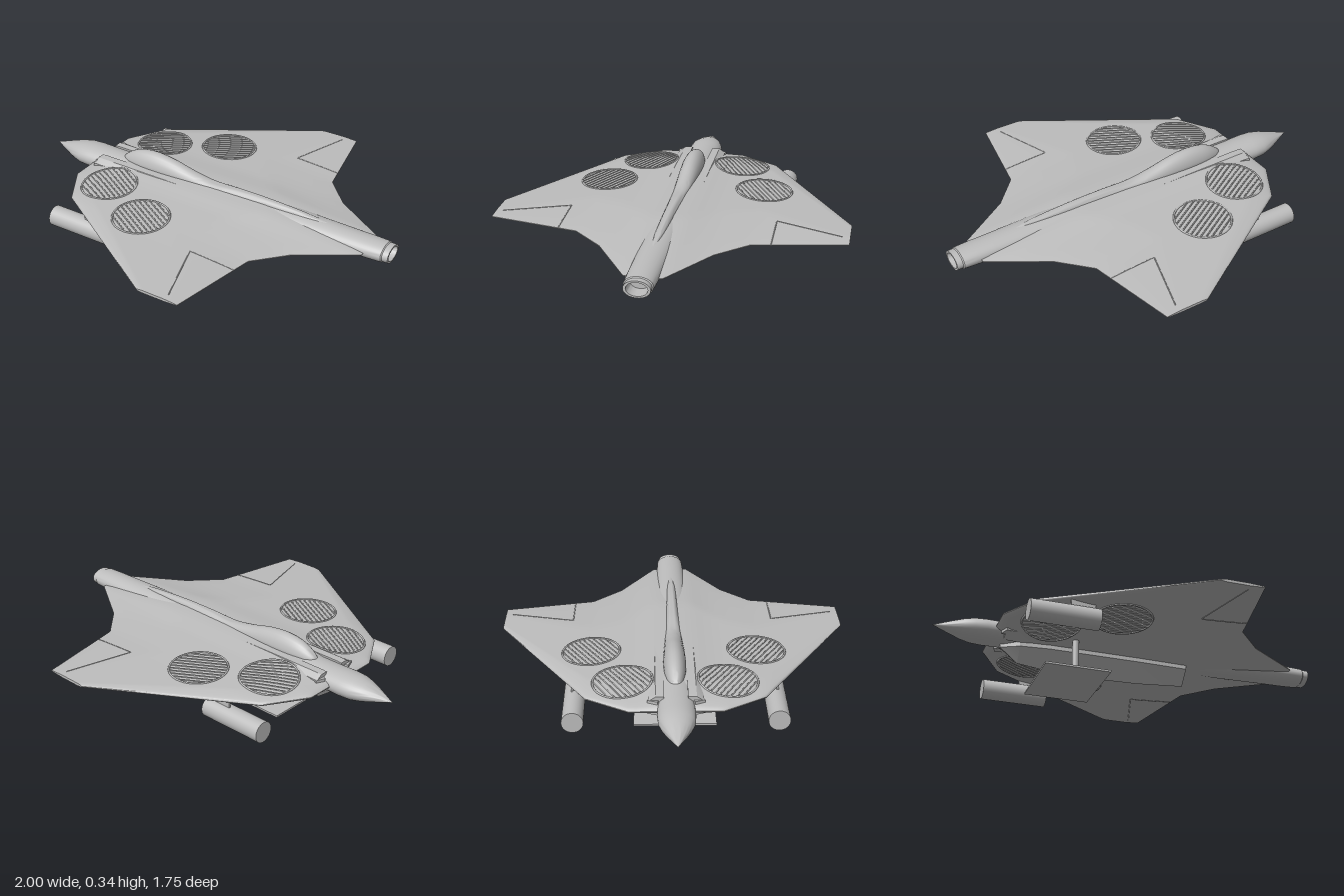
import * as THREE from 'three';
import { toCreasedNormals } from 'three/addons/utils/BufferGeometryUtils.js';

const MID = 0.213;
const grey = new THREE.MeshStandardMaterial({ color: 0xbdbdbd, side: THREE.DoubleSide });
grey.name = 'hull grey';

// Piecewise-linear lookup in [[key, value], ...]
function lerpTable(table, k) {
  for (let i = 1; i < table.length; i++) {
    const [a, va] = table[i - 1], [b, vb] = table[i];
    if (k <= b) return va + (vb - va) * Math.max(0, (k - a) / (b - a));
  }
  return table[table.length - 1][1];
}

const LEADING = [[0, -0.70], [0.22, -0.70], [0.42, -0.58], [0.875, 0.15]];
const TRAILING = [[0, 0.88], [0.09, 0.88], [0.27, 0.60], [0.42, 0.46], [0.875, 0.37]];
const THICK = [[0, 0.053], [0.09, 0.049], [0.2, 0.035], [0.5, 0.021], [0.875, 0.005]];

// Half thickness of the wing at a plan position
function halfThickness(x, z) {
  const s = Math.abs(z), le = lerpTable(LEADING, s), te = lerpTable(TRAILING, s);
  const u = THREE.MathUtils.clamp((x - le) / (te - le), 0, 1);
  const front = Math.sqrt(Math.min(1, u / 0.14));
  const back = Math.pow(Math.min(1, (1 - u) / 0.35), 0.8);
  return 0.002 + lerpTable(THICK, s) * front * back;
}

function mesh(name, geometry) {
  const m = new THREE.Mesh(geometry, grey);
  m.name = name;
  return m;
}

// Joins equal-length closed rings of [x, y, z] and caps both ends
function loft(rings, crease = 0.6) {
  const n = rings[0].length, pos = rings.flat(2), index = [];
  for (let i = 0; i < rings.length - 1; i++) {
    for (let j = 0; j < n; j++) {
      const a = i * n + j, b = i * n + (j + 1) % n;
      index.push(a, b, a + n, b, b + n, a + n);
    }
  }
  const last = (rings.length - 1) * n;
  for (let j = 1; j < n - 1; j++) index.push(0, j + 1, j, last, last + j, last + j + 1);
  const g = new THREE.BufferGeometry();
  g.setAttribute('position', new THREE.Float32BufferAttribute(pos, 3));
  g.setIndex(index);
  return toCreasedNormals(g, crease);
}

// Blended delta wing, one closed section per span station
function wing() {
  const stations = [];
  for (const [a, b, n] of [[0, 0.09, 3], [0.09, 0.22, 4], [0.22, 0.27, 2], [0.27, 0.42, 4], [0.42, 0.875, 9]]) {
    for (let i = 0; i < n; i++) stations.push(a + (b - a) * i / n);
  }
  stations.push(0.875);
  const span = [...stations.slice(1).reverse().map(z => -z), ...stations];
  const N = 40;
  const rings = span.map(z => {
    const le = lerpTable(LEADING, Math.abs(z)), te = lerpTable(TRAILING, Math.abs(z));
    const ring = [];
    for (const side of [1, -1]) {
      for (let i = 0; i <= N; i++) {
        const f = side > 0 ? i / N : 1 - i / N;
        const x = le + (te - le) * Math.pow(f, 1.4);
        ring.push([x, MID + side * halfThickness(x, z), z]);
      }
    }
    return ring.reverse();
  });
  return mesh('deltaWing', loft(rings, 0.7));
}

// Line lying on the upper or lower wing skin between plan points
function skinLine(name, from, to, side, r = 0.003) {
  const pts = [];
  for (let i = 0; i <= 5; i++) {
    const x = from[0] + (to[0] - from[0]) * i / 5, z = from[1] + (to[1] - from[1]) * i / 5;
    pts.push(new THREE.Vector3(x, MID + side * halfThickness(x, z), z));
  }
  return mesh(name, new THREE.TubeGeometry(new THREE.CatmullRomCurve3(pts), 6, r, 4));
}

// Round lift-fan grille: rim plus diagonal slats following the skin
function fan(cx, cz, r, side) {
  const g = new THREE.Group();
  g.name = 'liftFan';
  const rim = [];
  for (let i = 0; i < 40; i++) {
    const a = i / 40 * Math.PI * 2, x = cx + r * Math.cos(a), z = cz + r * Math.sin(a);
    rim.push(new THREE.Vector3(x, MID + side * halfThickness(x, z), z));
  }
  g.add(mesh('fanRim', new THREE.TubeGeometry(new THREE.CatmullRomCurve3(rim, true), 48, 0.005, 6, true)));
  const dx = Math.cos(0.52), dz = Math.sin(0.52) * Math.sign(cz);
  for (let i = -5; i <= 5; i++) {
    const o = i * r / 6, h = Math.sqrt(r * r - o * o) * 0.97;
    const mx = cx - dz * o, mz = cz + dx * o;
    g.add(skinLine('fanSlat', [mx - dx * h, mz - dz * h], [mx + dx * h, mz + dz * h], side, 0.004));
  }
  return g;
}

export function createModel() {
  const model = new THREE.Group();
  model.name = 'deltaAircraft';
  model.add(wing());

  // Fuselage tube from pointed nose to open nozzle
  const profile = [[0, -1], [0.024, -0.95], [0.048, -0.9], [0.07, -0.85], [0.085, -0.8], [0.089, -0.74],
    [0.087, -0.65], [0.084, 0], [0.082, 0.5], [0.074, 0.8], [0.073, 0.88], [0.069, 0.965],
    [0.063, 0.97], [0.063, 1], [0.05, 1], [0.045, 0.93], [0, 0.93]];
  const tube = new THREE.LatheGeometry(profile.map(p => new THREE.Vector2(p[0], p[1])), 36);
  tube.rotateZ(-Math.PI / 2).scale(1, 0.66, 1).translate(0, MID, 0);
  model.add(mesh('fuselage', toCreasedNormals(tube, 0.6)));

  // Canopy flowing into the dorsal spine: x, half height, half width
  const canopy = [[-0.555, 0.004, 0.004], [-0.53, 0.03, 0.026], [-0.46, 0.07, 0.047], [-0.36, 0.086, 0.055],
    [-0.25, 0.075, 0.053], [-0.12, 0.043, 0.045], [0, 0.023, 0.038], [0.15, 0.03, 0.032],
    [0.35, 0.029, 0.027], [0.55, 0.017, 0.02], [0.66, 0.006, 0.008]];
  const path = new THREE.CatmullRomCurve3(canopy.map(c => new THREE.Vector3(...c)));
  const rings = path.getPoints(50).map(p => Array.from({ length: 24 }, (_, i) => {
    const a = -i / 24 * Math.PI * 2;
    return [p.x, 0.258 + Math.sin(a) * (Math.sin(a) > 0 ? p.y : 0.02), Math.cos(a) * p.z];
  }));
  model.add(mesh('canopyAndSpine', loft(rings, 0.8)));

  // V-shaped belly keel: x, bottom height, half width
  const keel = [[-0.66, 0.14, 0.01], [-0.57, 0.07, 0.055], [-0.42, 0.052, 0.07], [-0.15, 0.045, 0.07],
    [0.05, 0.05, 0.07], [0.3, 0.07, 0.065]];
  model.add(mesh('bellyKeel', loft(keel.map(([x, y, w]) =>
    [[x, 0.175, w], [x, 0.14, w], [x, y, 0], [x, 0.14, -w], [x, 0.175, -w]].reverse()), 0.3)));

  for (const s of [1, -1]) {
    // Air intake shoulder beside the nose
    const section = (x, out, top, bot) =>
      [[x, bot, 0.055 * s], [x, bot + 0.02, out * s], [x, top - 0.02, out * s], [x, top, 0.095 * s], [x, top, 0.055 * s]];
    const intake = [section(-0.655, 0.125, 0.265, 0.165), section(-0.63, 0.128, 0.267, 0.16),
      section(-0.4, 0.115, 0.266, 0.16), section(0, 0.1, 0.262, 0.165)];
    model.add(mesh('airIntake', loft(s > 0 ? intake.map(r => r.reverse()) : intake, 0.4)));
    const lip = new THREE.BoxGeometry(0.03, 0.07, 0.05);
    lip.rotateY(0.35 * s).translate(-0.65, MID, 0.105 * s);
    model.add(mesh('intakeLip', lip));

    // Under-wing pods
    const pod = new THREE.CylinderGeometry(0.052, 0.052, 0.34, 32);
    pod.rotateZ(Math.PI / 2).translate(-0.47, 0.122, 0.482 * s);
    model.add(mesh('pod', pod));
    const pylon = new THREE.BoxGeometry(0.12, 0.05, 0.01);
    pylon.translate(-0.38, 0.185, 0.49 * s);
    model.add(mesh('podPylon', pylon));

    // Platform strut
    const strut = new THREE.CylinderGeometry(0.017, 0.017, 0.18, 20);
    strut.translate(-0.31, 0.095, 0.135 * s);
    model.add(mesh('platformStrut', strut));

    for (const side of [1, -1]) {
      model.add(fan(-0.468, 0.25 * s, 0.142, side), fan(-0.158, 0.408 * s, 0.142, side));
      // Control surface seams
      model.add(skinLine('flapSeam', [0.30, 0.84 * s], [0.20, 0.515 * s], side, 0.0025));
      model.add(skinLine('flapSeam', [0.20, 0.515 * s], [0.44, 0.515 * s], side, 0.0025));
    }
  }

  // Flat platform under the hull
  const plate = new THREE.BoxGeometry(0.33, 0.01, 0.4);
  plate.translate(-0.312, 0.005, 0);
  model.add(mesh('platform', plate));
  return model;
}
